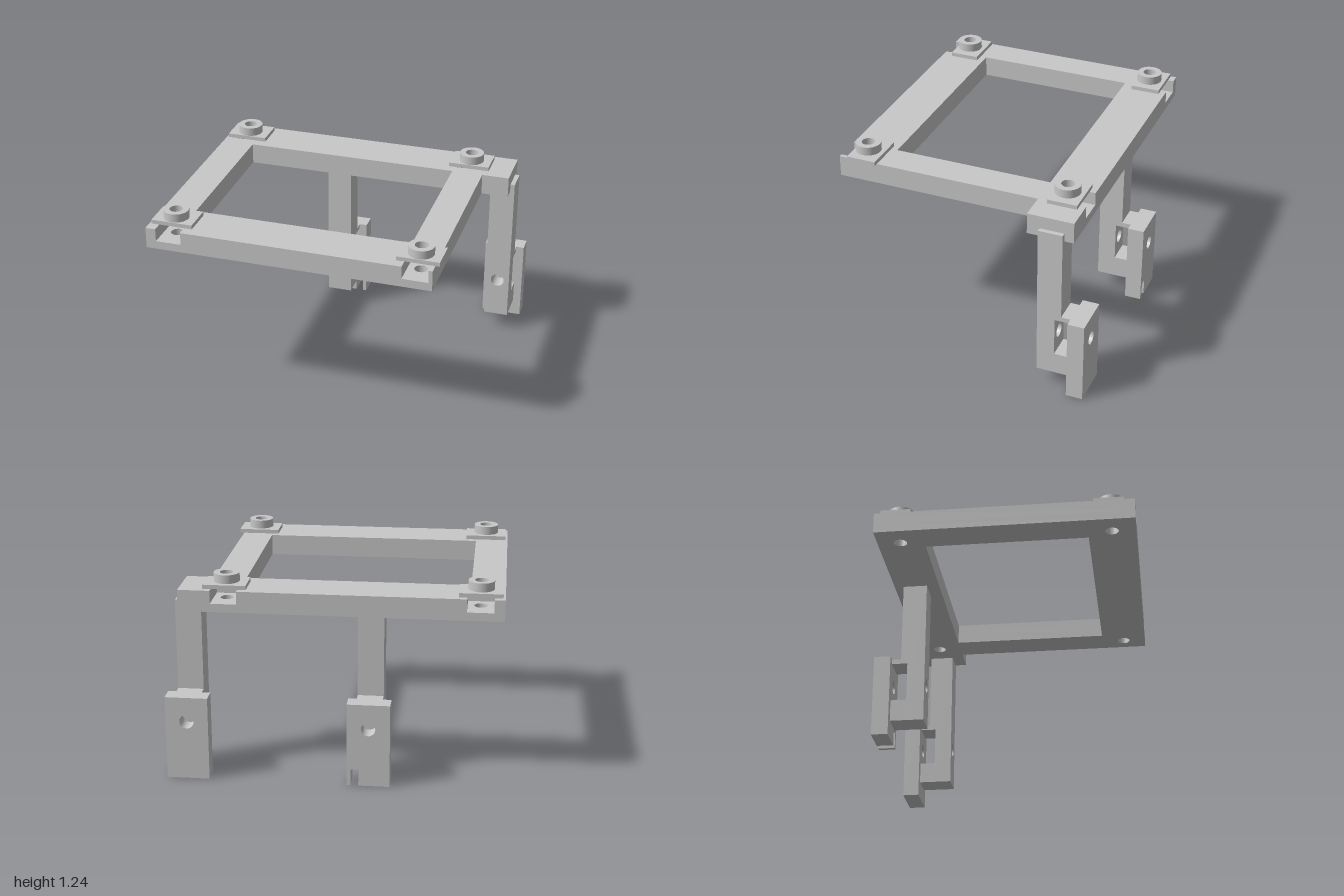
import * as THREE from 'three';

const grey = new THREE.MeshStandardMaterial({ color: 0xc8c8c8 });
grey.name = 'lightGrey';

function shapeOf(points, holes = []) {
  const shape = new THREE.Shape(points.map(([x, y]) => new THREE.Vector2(x, y)));
  for (const [x, y, r] of holes) {
    shape.holes.push(new THREE.Path().absarc(x, y, r, 0, Math.PI * 2, true));
  }
  return shape;
}

function rect(x0, x1, y0, y1) {
  return [[x0, y0], [x1, y0], [x1, y1], [x0, y1]];
}

function extrude(shape, depth) {
  return new THREE.ExtrudeGeometry(shape, { depth, bevelEnabled: false, curveSegments: 32 });
}

function add(parent, name, geometry) {
  const mesh = new THREE.Mesh(geometry, grey);
  mesh.name = name;
  parent.add(mesh);
}

// Horizontal slab between two heights; the outline uses (x, -z)
function slab(parent, name, shape, y0, y1) {
  add(parent, name, extrude(shape, y1 - y0).rotateX(-Math.PI / 2).translate(0, y0, 0));
}

// Upright slab between two depths; the outline uses (x, y)
function upright(parent, name, shape, z0, z1) {
  add(parent, name, extrude(shape, z1 - z0).translate(0, 0, z0));
}

function box(parent, name, x0, x1, y0, y1, z0, z1) {
  const g = new THREE.BoxGeometry(x1 - x0, y1 - y0, z1 - z0);
  add(parent, name, g.translate((x0 + x1) / 2, (y0 + y1) / 2, (z0 + z1) / 2));
}

const HOLE = 0.04;
const SLOT = 0.079;
const XS = [-0.858, 0.648];
const Z_BACK = -0.587;
const Z_FRONT = 0.686;

function createFrame() {
  const frame = new THREE.Group();
  frame.name = 'frame';
  const opening = () => new THREE.Path(
    rect(-0.795, 0.555, -0.543, 0.443).reverse().map(([x, y]) => new THREE.Vector2(x, y)));

  // Solid floor of the frame with four screw holes
  const bolts = XS.flatMap((x) => [[x, -Z_BACK, HOLE], [x, -Z_FRONT, HOLE]]);
  const floor = shapeOf([[-1, -0.83], [0.75, -0.83], [0.75, 0.443], [0.92, 0.443],
    [0.92, 0.727], [-1, 0.727]], bolts);
  floor.holes.push(opening());
  slab(frame, 'frameFloor', floor, 1.027, 1.078);

  // Upper layer with nut slots open to the front and back
  const notch = (x, edge, end, dir) => [
    [x - dir * SLOT, edge], [x - dir * SLOT, end], [x + dir * SLOT, end], [x + dir * SLOT, edge]];
  const top = shapeOf([
    [-1, -0.83], ...notch(XS[0], -0.83, -0.605, 1), ...notch(XS[1], -0.83, -0.605, 1), [0.75, -0.83],
    [0.75, 0.443], [0.92, 0.443], [0.92, 0.727],
    ...notch(XS[1], 0.727, 0.505, -1), ...notch(XS[0], 0.727, 0.505, -1), [-1, 0.727]]);
  top.holes.push(opening());
  slab(frame, 'frameTop', top, 1.078, 1.157);
  return frame;
}

// Square plate with a raised ring around the screw hole
function createMount(x, z, z0, z1) {
  const mount = new THREE.Group();
  mount.name = 'cornerMount';
  slab(mount, 'mountPlate',
    shapeOf(rect(x - 0.129, x + 0.128, -z1, -z0), [[x, -z, HOLE]]), 1.157, 1.182);
  const ring = [[HOLE, 1.182], [0.077, 1.182], [0.077, 1.235], [HOLE, 1.235], [HOLE, 1.182]];
  // Each wall is its own lathe strip so that the edges stay sharp
  for (let i = 0; i < 4; i++) {
    const strip = ring.slice(i, i + 2).map(([r, y]) => new THREE.Vector2(r, y));
    add(mount, 'mountRing', new THREE.LatheGeometry(strip, 40).translate(x, 0, z));
  }
  return mount;
}

function createLeg(x, notched) {
  const leg = new THREE.Group();
  leg.name = 'leg';
  const a = x - 0.078, b = x + 0.078;
  const bolt = [[x, 0.365, 0.043]];
  upright(leg, 'post', shapeOf(rect(a, b, 0.107, 1.078), bolt), -0.63, -0.52);
  box(leg, 'postBack', a, b, 0.518, 1.078, -0.67, -0.63);
  box(leg, 'upperBridge', a, b, 0.488, 0.518, -0.73, -0.63);
  box(leg, 'lowerBridge', a, b, 0.107, 0.243, -0.73, -0.63);

  // Clamp plate, with a cable notch in the lower edge of one leg
  const l = x - 0.13, r = x + 0.128;
  const notch = notched
    ? [[x + 0.057, 0], [x + 0.057, 0.104], [x + 0.103, 0.104], [x + 0.103, 0]] : [];
  upright(leg, 'clampPlate',
    shapeOf([[l, 0], ...notch, [r, 0], [r, 0.518], [l, 0.518]], bolt), -0.83, -0.727);
  return leg;
}

export function createModel() {
  const model = new THREE.Group();
  model.name = 'mountingFrame';
  model.add(createFrame());
  for (const x of XS) {
    model.add(createMount(x, Z_BACK, -0.69, -0.507));
    model.add(createMount(x, Z_FRONT, 0.583, 0.767));
  }
  model.add(createLeg(-0.22, true), createLeg(0.87, false));
  return model;
}
